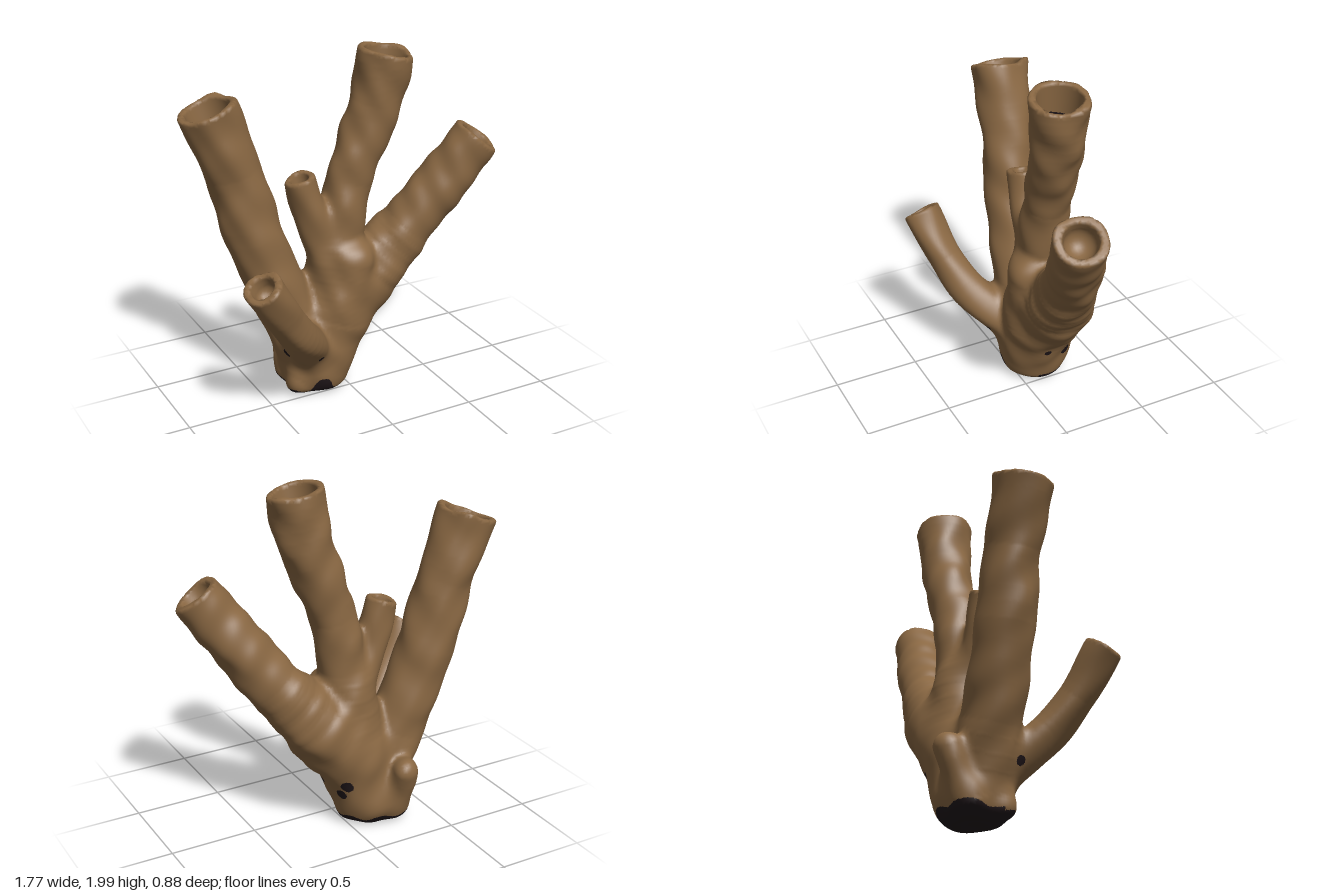
import * as THREE from 'three';
import { mergeVertices } from 'three/addons/utils/BufferGeometryUtils.js';

// Centre lines as [x, y, z, radius] from root to tip; bore is the depth of an open tip
const ROOT = [-0.16, 0.15, -0.13, 0.188];
const BRANCHES = [
  { name: 'tallTube', bore: 0.36, path: [ROOT, [-0.06, 0.5, -0.12, 0.195], [-0.01, 0.95, -0.11, 0.14],
    [0.05, 1.25, -0.1, 0.128], [0.2, 1.68, -0.08, 0.143], [0.255, 1.97, -0.06, 0.16]] },
  { name: 'leftLeaningTube', bore: 0.36, path: [ROOT, [-0.33, 0.52, -0.14, 0.16], [-0.505, 1, -0.17, 0.16],
    [-0.605, 1.38, -0.19, 0.15], [-0.735, 1.75, -0.2, 0.163]] },
  { name: 'rightLeaningTube', bore: 0.14, path: [ROOT, [-0.05, 0.38, -0.13, 0.195], [0.14, 0.63, -0.12, 0.205],
    [0.4, 0.925, -0.055, 0.152], [0.765, 1.45, 0.09, 0.14]] },
  { name: 'smallMiddleTube', bore: 0.16, path: [[-0.07, 0.72, -0.1, 0.1], [-0.145, 0.94, -0.1, 0.096], [-0.255, 1.31, -0.11, 0.09]] },
  { name: 'smallFrontTube', bore: 0.12, path: [[-0.24, 0.3, -0.03, 0.12], [-0.4, 0.5, 0.17, 0.108],
    [-0.53, 0.68, 0.26, 0.1], [-0.69, 0.935, 0.335, 0.108]] },
  { name: 'backKnob', path: [[-0.26, 0.08, -0.23, 0.095], [-0.27, 0.355, -0.36, 0.072]] },
  { name: 'sideFoot', path: [[-0.2, 0.2, -0.1, 0.1], [-0.31, 0.08, -0.06, 0.066]] },
  { name: 'frontSwelling', path: [[-0.06, 0.45, -0.06, 0.15], [0.03, 0.8, 0, 0.115]] },
];
const WALL = 0.032;

// Dark spots on the foot: [x, y, z, radius]
const SPOTS = [[-0.26, 0.32, 0.09, 0.02], [-0.37, 0.33, 0, 0.028], [0.1, 0.28, -0.09, 0.021],
  [0.06, 0.295, -0.28, 0.037], [0.05, 0.235, -0.22, 0.033]];

const smin = (a, b, k) => {
  const h = Math.max(k - Math.abs(a - b), 0) / k;
  return Math.min(a, b) - h * h * k * 0.25;
};
const smax = (a, b, k) => -smin(-a, -b, k);

// Distance to a tapered rod
function rod(s, x, y, z) {
  const px = x - s.x, py = y - s.y, pz = z - s.z;
  const t = Math.min(1, Math.max(0, (px * s.dx + py * s.dy + pz * s.dz) / s.len2));
  return Math.hypot(px - s.dx * t, py - s.dy * t, pz - s.dz * t) - s.r - s.dr * t;
}

function makeRod(a, b, ra, rb) {
  const d = b.clone().sub(a);
  return { x: a.x, y: a.y, z: a.z, dx: d.x, dy: d.y, dz: d.z, len2: d.lengthSq(), r: ra, dr: rb - ra };
}

// Smooth each path into a chain of rods, with a cut plane and a bore at an open tip
function prepare({ name, path, bore }) {
  const curve = new THREE.CatmullRomCurve3(path.map(p => new THREE.Vector3(p[0], p[1], p[2])));
  const spans = path.length - 1, steps = spans * 5;
  const radius = i => {
    const k = Math.min(Math.floor(i / 5), spans - 1);
    return THREE.MathUtils.lerp(path[k][3], path[k + 1][3], i / 5 - k);
  };
  const rods = [];
  for (let i = 0; i < steps; i++) {
    rods.push(makeRod(curve.getPoint(i / steps), curve.getPoint((i + 1) / steps), radius(i), radius(i + 1)));
  }
  if (!bore) return { name, rods };
  const tip = curve.getPoint(1), axis = curve.getTangent(1), r = radius(steps), inner = r - WALL;
  const at = s => tip.clone().addScaledVector(axis, s);
  rods.push(makeRod(tip, at(0.15), r, r));
  const hole = makeRod(at(0.1), at(inner * 0.8 - bore), inner, inner * 0.8);
  return { name, rods, tip, axis, hole, stainDepth: bore > 0.15 ? bore * 0.55 : Infinity };
}

const along = (b, x, y, z) => (x - b.tip.x) * b.axis.x + (y - b.tip.y) * b.axis.y + (z - b.tip.z) * b.axis.z;

function branchDistance(b, x, y, z) {
  let d = Infinity;
  for (const s of b.rods) d = Math.min(d, rod(s, x, y, z));
  return b.tip ? smax(d, along(b, x, y, z), 0.015) : d;
}

// Gentle lumps over the skin, and an uneven underside
const lumps = (x, y, z) => 0.006 * Math.sin(13 * x + 11 * y + 3) * Math.sin(19 * z - 8 * y + 1)
  + 0.006 * Math.sin(21 * y + 12 * x) * Math.cos(23 * z + 17 * x);
const floor = (x, z) => 0.015 + 0.015 * Math.sin(17 * x + 1) * Math.sin(16 * z);

export function createModel() {
  const skin = new THREE.MeshStandardMaterial({ color: 0x8a6843 });
  skin.name = 'brown skin';
  const stain = new THREE.MeshStandardMaterial({ color: 0x20171a });
  stain.name = 'dark stain';
  const branches = BRANCHES.map(prepare);
  const tubes = branches.filter(b => b.tip);

  // The whole body as one blended distance field
  const field = (x, y, z) => {
    let d = 10;
    for (const b of branches) d = smin(d, branchDistance(b, x, y, z), 0.055);
    if (d > 0.2) return d;
    d += lumps(x, y, z);
    for (const b of tubes) d = smax(d, -rod(b.hole, x, y, z), 0.012);
    return smax(d, floor(x, z) - y, 0.05);
  };
  const gradient = p => {
    const e = 0.005;
    return new THREE.Vector3(
      field(p.x + e, p.y, p.z) - field(p.x - e, p.y, p.z),
      field(p.x, p.y + e, p.z) - field(p.x, p.y - e, p.z),
      field(p.x, p.y, p.z + e) - field(p.x, p.y, p.z - e)).normalize();
  };
  // Move a point onto the surface by at most the given step
  const settle = (p, step) => p.addScaledVector(gradient(p), -THREE.MathUtils.clamp(field(p.x, p.y, p.z), -step, step));
  const spots = SPOTS.map(([x, y, z, r]) => ({ p: settle(settle(new THREE.Vector3(x, y, z), 0.05), 0.05), r }));

  // Sample the field on a grid
  const h = 0.018, min = [-0.97, -0.05, -0.52], n = [108, 118, 58];
  const stride = [1, n[0], n[0] * n[1]];
  const values = new Float32Array(n[0] * n[1] * n[2]).fill(1);
  const eachCell = visit => {
    for (let k = 1; k < n[2] - 1; k++) for (let j = 1; j < n[1] - 1; j++) for (let i = 1; i < n[0] - 1; i++) {
      visit([i, j, k], i + j * stride[1] + k * stride[2]);
    }
  };
  eachCell((c, id) => { values[id] = field(min[0] + c[0] * h, min[1] + c[1] * h, min[2] + c[2] * h); });

  // One vertex per cell that the surface crosses
  const offset = c => (c & 1) + ((c >> 1) & 1) * stride[1] + (c >> 2) * stride[2];
  const verts = new Map();
  eachCell((cell, id) => {
    const sum = [0, 0, 0];
    let count = 0;
    for (let c = 0; c < 8; c++) for (let a = 0; a < 3; a++) {
      if (c & (1 << a)) continue;
      const v0 = values[id + offset(c)], v1 = values[id + offset(c | (1 << a))];
      if ((v0 < 0) === (v1 < 0)) continue;
      for (let q = 0; q < 3; q++) sum[q] += q === a ? v0 / (v0 - v1) : (c >> q) & 1;
      count++;
    }
    if (!count) return;
    const p = settle(new THREE.Vector3(...sum.map((s, q) => min[q] + (cell[q] + s / count) * h)), h / 3);
    verts.set(id, { p, n: gradient(p) });
  });

  // Stained: the underside, the deep bores and the spots
  const isDark = c => {
    const rise = c.z > -0.08 ? 0.07 * Math.exp(-(((c.x + 0.2) / 0.055) ** 4)) : 0.02;
    if (c.y < 0.05 + rise + 0.012 * Math.sin(30 * c.x + 22 * c.z)) return true;
    if (spots.some(s => s.p.distanceTo(c) < s.r)) return true;
    return tubes.some(b => along(b, c.x, c.y, c.z) < -b.stainDepth + 0.03 * Math.sin(25 * c.x + 20 * c.z)
      && Math.abs(rod(b.hole, c.x, c.y, c.z)) < 0.012);
  };
  const partOf = c => {
    let best = Infinity, name = '';
    for (const b of branches) {
      const d = branchDistance(b, c.x, c.y, c.z);
      if (d < best) { best = d; name = b.name; }
    }
    return c.y < 0.4 && /^(tall|left|right)/.test(name) ? 'trunk' : name;
  };

  // Sort quads by part and colour, cutting finely along the edge of a stain
  const buckets = new Map();
  const mix = (a, b, t) => ({ p: a.p.clone().lerp(b.p, t), n: a.n.clone().lerp(b.n, t).normalize() });
  const addQuad = (quad, cuts) => {
    const at = (u, v) => mix(mix(quad[0], quad[1], u / cuts), mix(quad[3], quad[2], u / cuts), v / cuts);
    for (let u = 0; u < cuts; u++) for (let v = 0; v < cuts; v++) {
      const part = [at(u, v), at(u + 1, v), at(u + 1, v + 1), at(u, v + 1)];
      const mid = part[0].p.clone().lerp(part[2].p, 0.5);
      const dark = isDark(mid), key = partOf(mid) + (dark ? 'Stain' : '');
      if (!buckets.has(key)) buckets.set(key, { dark, pos: [], nor: [] });
      for (const q of [0, 1, 2, 0, 2, 3]) {
        buckets.get(key).pos.push(...part[q].p);
        buckets.get(key).nor.push(...part[q].n);
      }
    }
  };
  eachCell((cell, id) => {
    for (let a = 0; a < 3; a++) {
      const inside = values[id] < 0;
      if (inside === (values[id + stride[a]] < 0)) continue;
      const b = stride[(a + 1) % 3], c = stride[(a + 2) % 3];
      const quad = [id, id - b, id - b - c, id - c].map(q => verts.get(q));
      if (!inside) quad.reverse();
      const darkCorners = quad.filter(q => isDark(q.p)).length;
      addQuad(quad, darkCorners % 4 ? 4 : 1);
    }
  });

  const group = new THREE.Group();
  group.name = 'tubeSponge';
  for (const [name, { dark, pos, nor }] of buckets) {
    const geometry = new THREE.BufferGeometry();
    geometry.setAttribute('position', new THREE.Float32BufferAttribute(pos, 3));
    geometry.setAttribute('normal', new THREE.Float32BufferAttribute(nor, 3));
    const mesh = new THREE.Mesh(mergeVertices(geometry), dark ? stain : skin);
    mesh.name = name;
    group.add(mesh);
  }
  return group;
}
